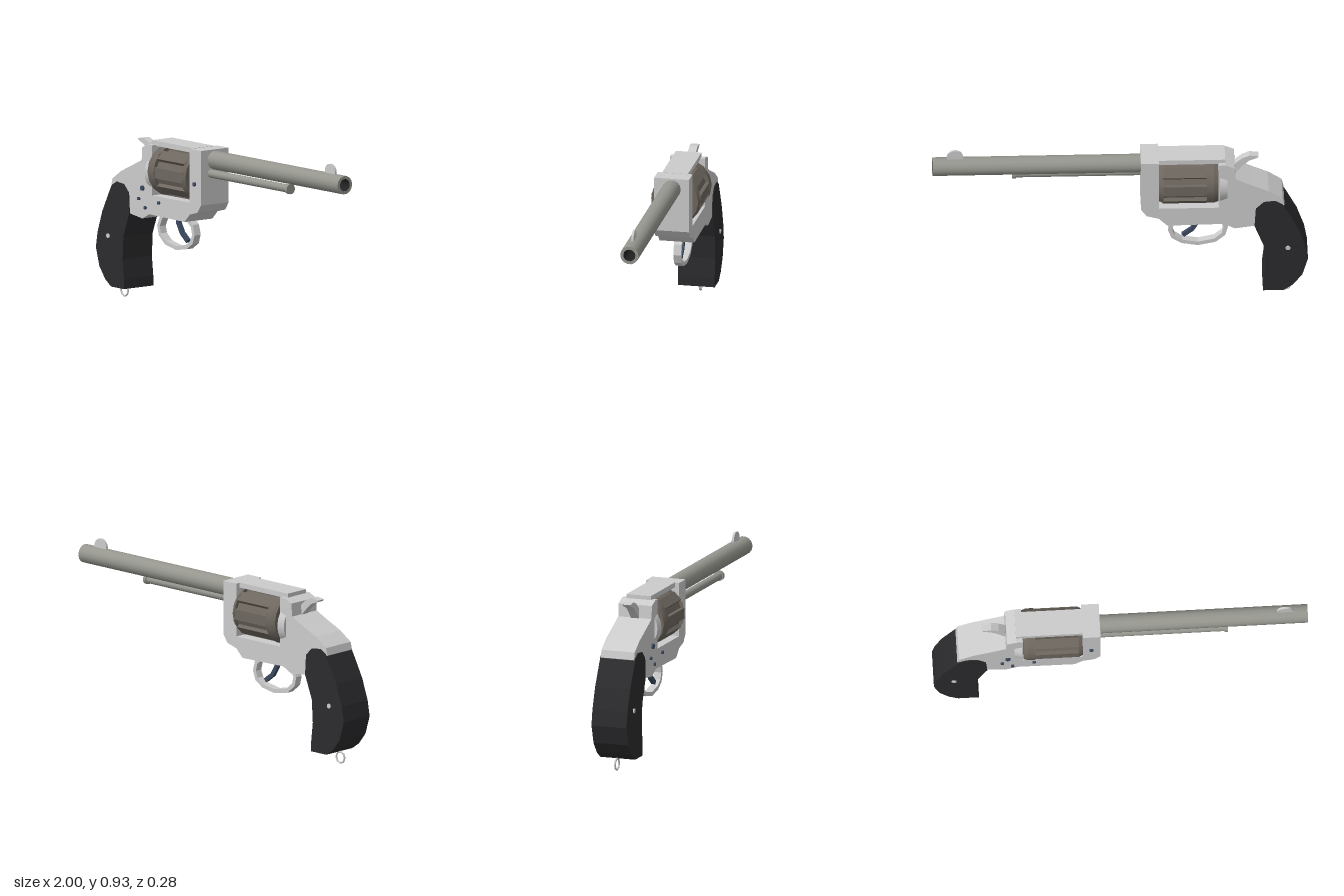
import * as THREE from 'three';

const mat = (color, side = THREE.FrontSide) => new THREE.MeshStandardMaterial({ color, side });
const steel = mat(0xcccccc), barrelSteel = mat(0x96968f), drumSteel = mat(0x6e675f);
const gripBlack = mat(0x2b2b2e), blued = mat(0x3b4a60), boreDark = mat(0x222222, THREE.DoubleSide);

export function createModel() {
  const model = new THREE.Group();

  const add = (name, geometry, material, x = 0, y = 0, z = 0) => {
    const mesh = new THREE.Mesh(geometry, material);
    mesh.name = name;
    mesh.position.set(x, y, z);
    model.add(mesh);
    return mesh;
  };

  const shapeOf = (points) => new THREE.Shape(points.map(([x, y]) => new THREE.Vector2(x, y)));

  // Side profile extruded evenly about z = 0
  const plate = (name, points, halfWidth, material) => {
    const g = new THREE.ExtrudeGeometry(shapeOf(points), { depth: halfWidth * 2, bevelEnabled: false });
    g.translate(0, 0, -halfWidth);
    return add(name, g, material);
  };

  // Round bar along x, from x0 (radius r0) to x1 (radius r1)
  const bar = (name, x0, x1, r0, r1, y, z, material, sides = 16, open = false) => {
    const g = new THREE.CylinderGeometry(r1, r0, x1 - x0, sides, 1, open);
    g.rotateZ(-Math.PI / 2);
    return add(name, g, material, (x0 + x1) / 2, y, z);
  };

  // Constant-thickness ribbon following a centre line in the xy plane
  const ribbon = (name, points, thickness, halfWidth, material) => {
    const offset = (side) => points.map(([x, y], i) => {
      const a = points[Math.max(i - 1, 0)], b = points[Math.min(i + 1, points.length - 1)];
      const dx = b[0] - a[0], dy = b[1] - a[1], l = Math.hypot(dx, dy);
      return [x - dy / l * side * thickness / 2, y + dx / l * side * thickness / 2];
    });
    return plate(name, [...offset(1), ...offset(-1).reverse()], halfWidth, material);
  };

  // Frame: open cradle around the drum, closed by a narrower top strap
  plate('frame', [
    [-0.11, 0.89], [-0.205, 0.89], [-0.205, 0.6], [-0.525, 0.6], [-0.525, 0.87], [-0.56, 0.87],
    [-0.61, 0.85], [-0.615, 0.78], [-0.7, 0.74], [-0.79, 0.7], [-0.865, 0.65], [-0.875, 0.61],
    [-0.82, 0.58], [-0.74, 0.56], [-0.72, 0.48], [-0.61, 0.465], [-0.55, 0.495], [-0.25, 0.49],
    [-0.205, 0.535], [-0.14, 0.553], [-0.11, 0.595],
  ], 0.095, steel);
  add('topStrap', new THREE.BoxGeometry(0.36, 0.027, 0.14), steel, -0.38, 0.878, 0);
  bar('recoilShield', -0.57, -0.53, 0.112, 0.12, 0.717, 0, steel, 20);

  // Drum: plain rear band, fluted body and front collar
  const drumY = 0.733;
  bar('drumRear', -0.522, -0.5, 0.13, 0.138, drumY, 0, drumSteel, 16);
  bar('drumBand', -0.5, -0.46, 0.138, 0.138, drumY, 0, drumSteel, 16);
  const flutes = [];
  const count = 8;
  for (let i = 0; i < count; i++) {
    for (const [step, r] of [[-0.27, 0.136], [0.27, 0.136], [0.33, 0.117], [0.67, 0.117]]) {
      const a = (i + step) / count * Math.PI * 2;
      flutes.push([r * Math.cos(a), r * Math.sin(a)]);
    }
  }
  const body = new THREE.ExtrudeGeometry(shapeOf(flutes), { depth: 0.235, bevelEnabled: false });
  body.rotateY(Math.PI / 2);
  add('drumBody', body, drumSteel, -0.46, drumY, 0);
  bar('drumCollar', -0.23, -0.206, 0.136, 0.125, drumY, 0, drumSteel, 16);

  // Barrel with open bore
  const barrelY = 0.833;
  bar('barrel', -0.12, 1, 0.05, 0.05, barrelY, 0, barrelSteel, 14, true);
  const rim = new THREE.RingGeometry(0.033, 0.05, 14);
  rim.rotateY(Math.PI / 2);
  add('muzzleRim', rim, barrelSteel, 1, barrelY, 0);
  bar('bore', 0.7, 1, 0.033, 0.033, barrelY, 0, boreDark, 14, true);
  const boreEnd = new THREE.CircleGeometry(0.033, 14);
  boreEnd.rotateY(Math.PI / 2);
  add('boreEnd', boreEnd, boreDark, 0.7, barrelY, 0);

  // Front sight blade
  const sight = new THREE.CylinderGeometry(0.044, 0.044, 0.012, 16);
  sight.rotateX(Math.PI / 2);
  add('frontSight', sight, steel, 0.88, 0.89, 0);

  // Ejector rod under the barrel
  bar('ejectorRod', -0.12, 0.56, 0.022, 0.022, 0.762, 0.027, barrelSteel);
  bar('ejectorTip', 0.553, 0.573, 0.028, 0.028, 0.762, 0.027, barrelSteel);

  // Hammer
  plate('hammer', [
    [-0.74, 0.876], [-0.69, 0.882], [-0.65, 0.865], [-0.615, 0.835], [-0.59, 0.78],
    [-0.6, 0.74], [-0.615, 0.775], [-0.655, 0.82], [-0.69, 0.85], [-0.73, 0.865],
  ], 0.022, steel);

  // Grip
  plate('grip', [
    [-0.825, 0.638], [-0.865, 0.615], [-0.89, 0.57], [-0.945, 0.465], [-0.985, 0.35], [-1, 0.265],
    [-0.97, 0.165], [-0.92, 0.1], [-0.87, 0.066], [-0.76, 0.066], [-0.76, 0.12], [-0.772, 0.225],
    [-0.765, 0.35], [-0.715, 0.48], [-0.722, 0.59], [-0.765, 0.632],
  ], 0.1, gripBlack);

  // Trigger and its guard
  ribbon('triggerGuard', [
    [-0.5, 0.498], [-0.54, 0.475], [-0.565, 0.425], [-0.553, 0.38], [-0.505, 0.34], [-0.415, 0.322],
    [-0.33, 0.337], [-0.283, 0.367], [-0.267, 0.41], [-0.28, 0.458], [-0.33, 0.495],
  ], 0.022, 0.021, steel);
  ribbon('trigger', [
    [-0.425, 0.51], [-0.415, 0.455], [-0.385, 0.405], [-0.335, 0.367],
  ], 0.022, 0.011, blued);

  // Lanyard ring
  add('lanyardRing', new THREE.TorusGeometry(0.031, 0.005, 6, 8), steel, -0.88, 0.036, 0);

  // Frame pins on one side, grip screw on both
  const pin = (name, x, y, z, r, material) => {
    const g = new THREE.CylinderGeometry(r, r, 0.02, 10);
    g.rotateX(Math.PI / 2);
    add(name, g, material, x, y, z);
  };
  [[-0.605, 0.63, 0.014], [-0.635, 0.57, 0.009], [-0.58, 0.527, 0.009],
    [-0.465, 0.567, 0.009], [-0.16, 0.705, 0.011]]
    .forEach(([x, y, r]) => pin('framePin', x, y, 0.095, r, blued));
  for (const s of [-1, 1]) pin('gripScrew', -0.893, 0.338, s * 0.096, 0.013, steel);

  return model;
}
